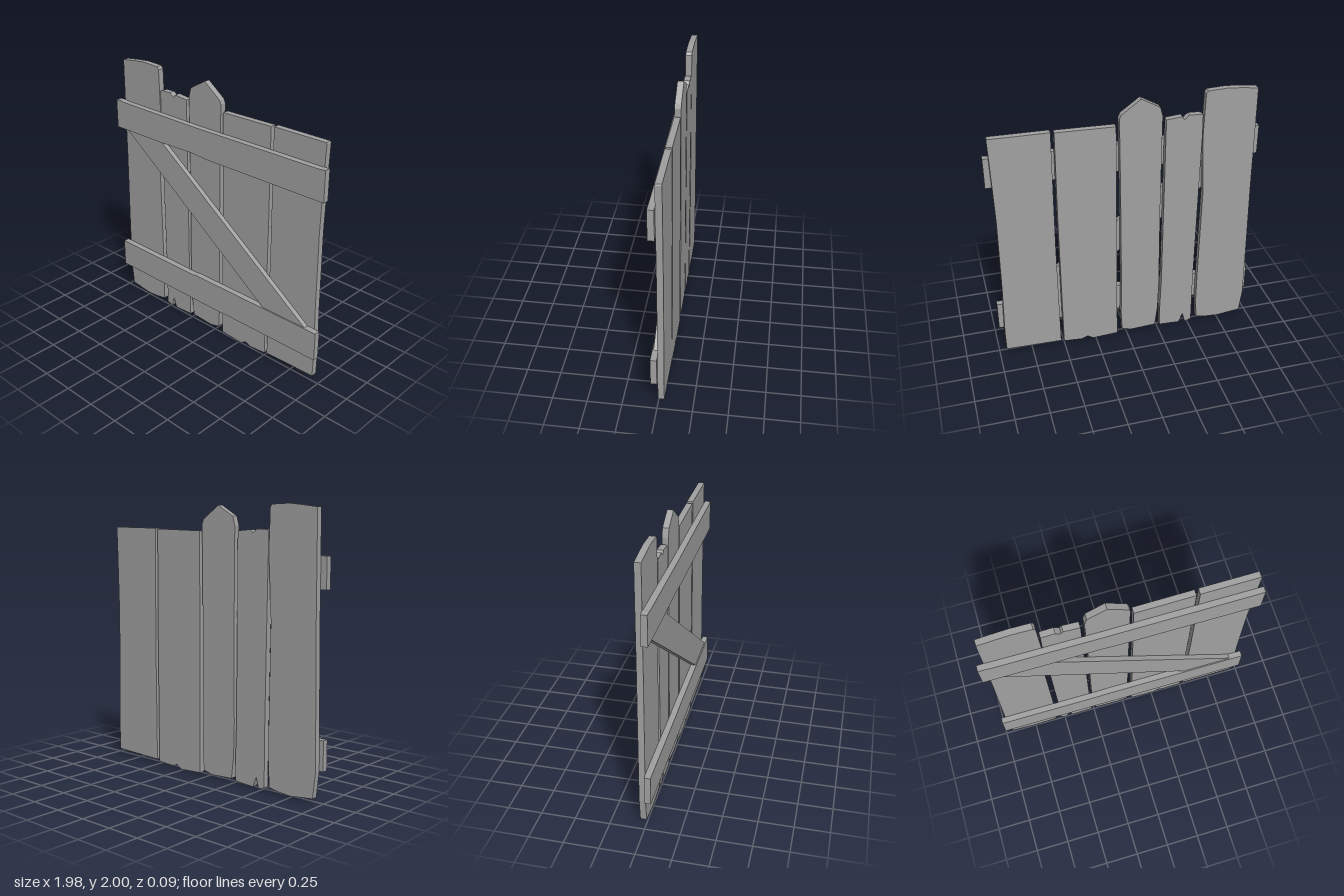
import * as THREE from 'three';

// Flat board cut from an outline, spanning z0 to z1
function board(name, outline, z0, z1, material) {
  const shape = new THREE.Shape(outline.map(([x, y]) => new THREE.Vector2(x, y)));
  const geometry = new THREE.ExtrudeGeometry(shape, { depth: z1 - z0, bevelEnabled: false });
  geometry.translate(0, 0, z0);
  const mesh = new THREE.Mesh(geometry, material);
  mesh.name = name;
  return mesh;
}

export function createModel() {
  const gate = new THREE.Group();
  gate.name = 'woodenGate';
  const wood = new THREE.MeshStandardMaterial({ color: 0xa0a0a0 });
  wood.name = 'greyWood';

  // Upright planks with worn, chipped ends
  const planks = [
    [[-0.94, 1.975], [-0.82, 1.99], [-0.72, 2], [-0.575, 1.995], [-0.56, 1.975], [-0.552, 1.67],
      [-0.575, 1.2], [-0.565, 0.44], [-0.565, 0.2], [-0.575, 0.034], [-0.66, 0.02], [-0.76, 0.013],
      [-0.94, 0.034], [-0.96, 0.215], [-0.955, 0.6], [-0.945, 1.2]],
    [[-0.545, 1.82], [-0.525, 1.827], [-0.447, 1.83], [-0.41, 1.8], [-0.395, 1.825], [-0.28, 1.815],
      [-0.278, 1.2], [-0.275, 0.44], [-0.268, 0.2], [-0.27, 0.02], [-0.43, 0.01], [-0.458, 0.09],
      [-0.48, 0.005], [-0.53, 0.022], [-0.53, 0.44], [-0.54, 1.2], [-0.547, 1.66]],
    [[-0.235, 1.915], [-0.1, 1.992], [0.04, 1.89], [0.053, 1.86], [0.05, 1.68], [0.045, 1.1],
      [0.042, 0.44], [0.045, 0.2], [0.037, 0.04], [-0.045, 0.02], [-0.23, 0.03], [-0.25, 0.2],
      [-0.255, 0.44], [-0.25, 1.2], [-0.253, 1.85]],
    [[0.075, 1.81], [0.5, 1.82], [0.505, 1.1], [0.502, 0.02], [0.36, 0.01], [0.315, 0.028],
      [0.27, 0], [0.077, 0.01]],
    [[0.525, 1.825], [0.945, 1.83], [0.95, 1.82], [0.945, 1.66], [0.935, 1.18], [0.94, 0.6],
      [0.95, 0.2], [0.947, 0.04], [0.525, 0.03], [0.53, 0.9]],
  ];
  planks.forEach((p, i) => gate.add(board(`plank${i + 1}`, p, -0.045, 0, wood)));

  // Cross rails on the front
  gate.add(board('upperRail', [[-0.99, 1.66], [-0.94, 1.663], [-0.91, 1.657], [-0.14, 1.652], [0.3, 1.657],
    [0.92, 1.662], [0.985, 1.667], [0.985, 1.44], [-0.05, 1.438], [-0.18, 1.448], [-0.515, 1.44],
    [-0.99, 1.44]], 0, 0.045, wood));
  gate.add(board('lowerRail', [[-0.99, 0.435], [-0.19, 0.433], [-0.16, 0.438], [0.985, 0.44],
    [0.985, 0.22], [0.12, 0.22], [0.08, 0.216], [-0.99, 0.22]], 0, 0.045, wood));

  // Diagonal brace between the rails
  gate.add(board('diagonalBrace', [[-0.89, 1.442], [-0.515, 1.442], [0.885, 0.438], [0.505, 0.438]],
    0, 0.036, wood));

  return gate;
}
